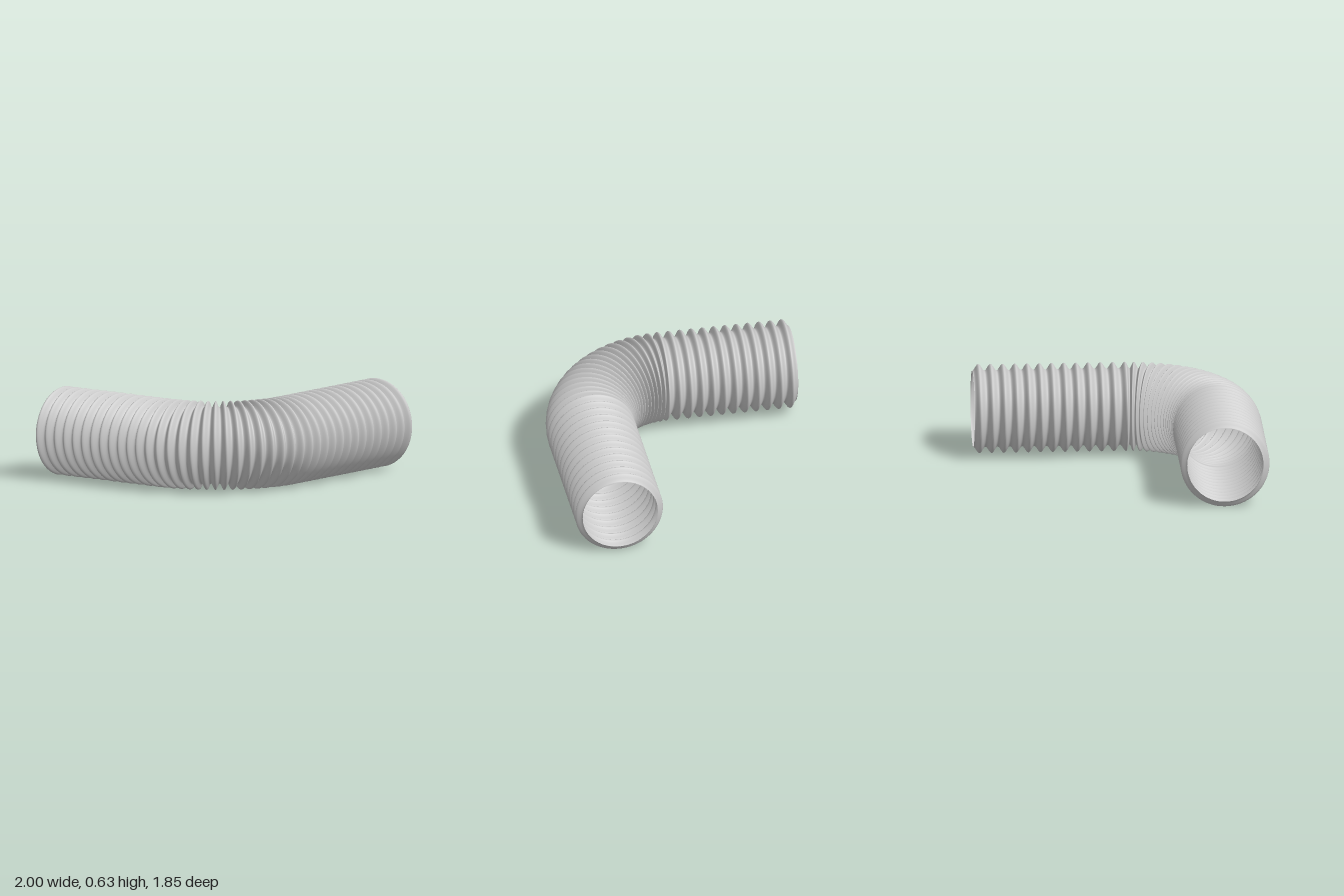
import * as THREE from 'three';
import { ParametricGeometry } from 'three/addons/geometries/ParametricGeometry.js';

const PEAK = 0.313, VALLEY = 0.268; // hose radius at ridges and grooves
const BEND = 0.613, BEND_X = -0.074; // centreline radius and centre of the elbow
const BACK = 0.927, FRONT = 1 - BEND_X; // lengths of the straight legs
const BACK_RINGS = 11.5, BEND_RINGS = 17, FRONT_RINGS = 12.5;
const RINGS = BACK_RINGS + BEND_RINGS + FRONT_RINGS;
const { clamp } = THREE.MathUtils;

// Point on the corrugated wall: u runs around the hose, v along it.
function wallPoint(u, v, target) {
  const t = v * RINGS; // counted in ridges from the back opening
  const phi = clamp((t - BACK_RINGS) / BEND_RINGS, 0, 1) * Math.PI / 2;
  const before = Math.max(0, 1 - t / BACK_RINGS) * BACK;
  const after = Math.max(0, (t - BACK_RINGS - BEND_RINGS) / FRONT_RINGS) * FRONT;
  const radius = VALLEY + (PEAK - VALLEY) * (1 - Math.cos(t * Math.PI * 2)) / 2;
  const a = u * Math.PI * 2;
  const out = BEND + radius * Math.cos(a); // distance from the elbow's centre
  target.set(
    BEND_X - out * Math.cos(phi) + after,
    PEAK - radius * Math.sin(a),
    out * Math.sin(phi) - before
  );
}

export function createModel() {
  const group = new THREE.Group();
  group.name = 'corrugatedElbowHose';
  const material = new THREE.MeshStandardMaterial({ color: 0xcccccc, side: THREE.DoubleSide });

  // Thin open hose: back leg, quarter bend and front leg in one sweep
  const hose = new THREE.Mesh(new ParametricGeometry(wallPoint, 72, RINGS * 12), material);
  hose.name = 'corrugatedHose';
  group.add(hose);
  return group;
}
